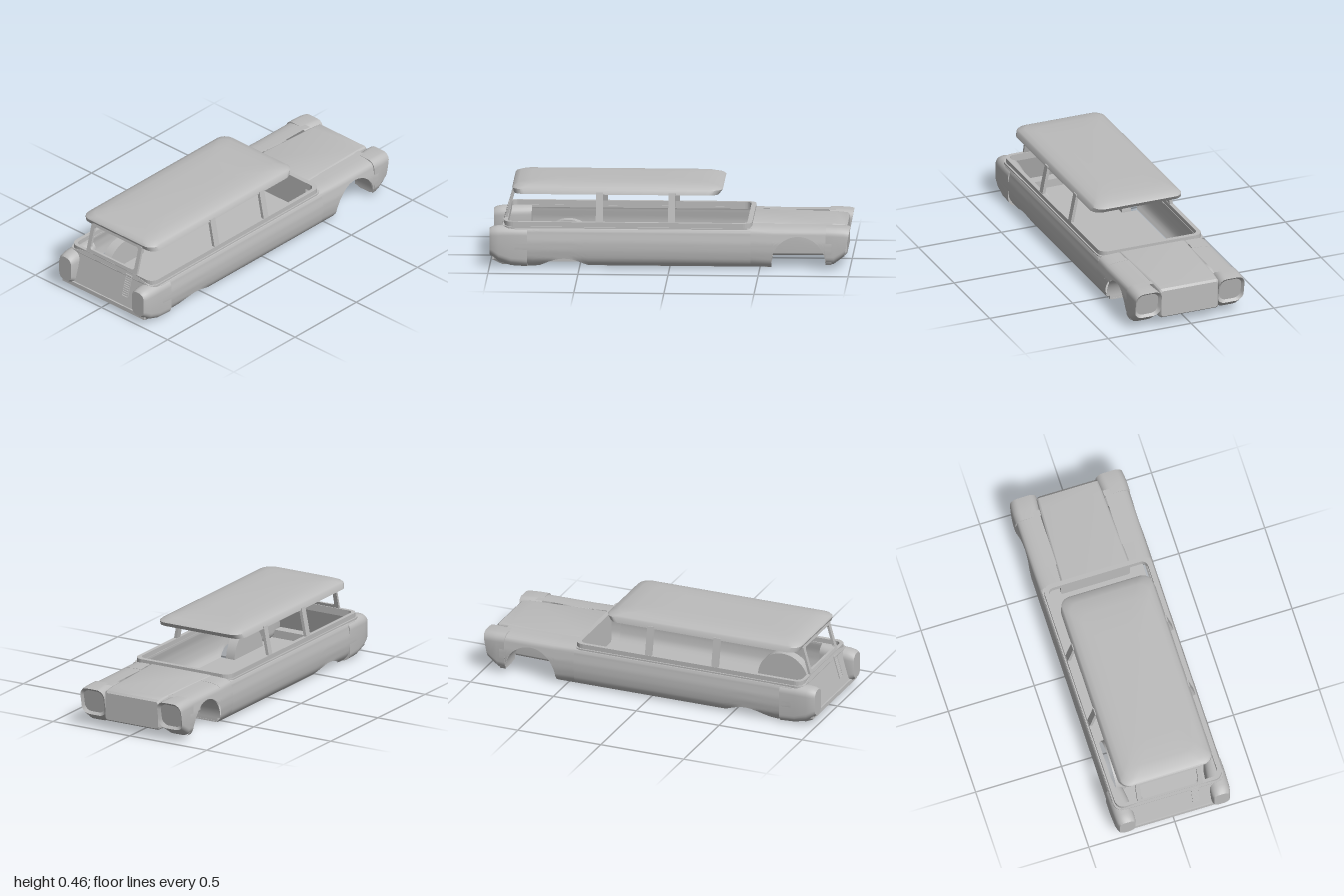
import * as THREE from 'three';
import { toCreasedNormals } from 'three/addons/utils/BufferGeometryUtils.js';

const paint = new THREE.MeshStandardMaterial({ color: 0xbcbcbc, side: THREE.DoubleSide });
paint.name = 'grey body paint';

// Rounded rectangle as a counter-clockwise list of [u, v]
function roundRect(u0, u1, v0, v1, r, n = 6) {
  const pts = [];
  [[u1 - r, v1 - r], [u0 + r, v1 - r], [u0 + r, v0 + r], [u1 - r, v0 + r]].forEach(([cu, cv], q) => {
    for (let i = 0; i <= n; i++) {
      const a = (q + i / n) * Math.PI / 2;
      pts.push([cu + r * Math.cos(a), cv + r * Math.sin(a)]);
    }
  });
  return pts;
}

// Skin through rings of [x, y, z]; closed rings are capped at both ends
function loft(rings, closed = true, crease = 0.6) {
  const n = rings[0].length, pos = rings.flat(2), idx = [];
  for (let i = 0; i < rings.length - 1; i++) {
    for (let j = 0; j < (closed ? n : n - 1); j++) {
      const k = (j + 1) % n, a = i * n + j, b = i * n + k, c = b + n, d = a + n;
      idx.push(a, b, c, a, c, d);
    }
  }
  if (closed) {
    const last = (rings.length - 1) * n;
    for (let j = 1; j < n - 1; j++) idx.push(0, j + 1, j, last, last + j, last + j + 1);
  }
  const g = new THREE.BufferGeometry();
  g.setAttribute('position', new THREE.Float32BufferAttribute(pos, 3));
  g.setIndex(idx);
  return toCreasedNormals(g, crease);
}

const shapeOf = pts => new THREE.Shape(pts.map(([x, y]) => new THREE.Vector2(x, y)));
const extrude = (shape, depth) => new THREE.ExtrudeGeometry(shape, { depth, bevelEnabled: false });
const flat = (shape, depth, top) => extrude(shape, depth).rotateX(Math.PI / 2).translate(0, top, 0);

// Leans a panel drawn in x-y onto the sloping tail
const tailZ = y => 0.93 - 0.286 * (y - 0.22);
function leanToTail(g, offset) {
  const p = g.attributes.position;
  for (let i = 0; i < p.count; i++) p.setZ(i, p.getZ(i) + offset + tailZ(p.getY(i)));
  g.computeVertexNormals();
  return g;
}

// Outer half-width of the body at a height
const flank = [[0, 0.285], [0.025, 0.31], [0.05, 0.326], [0.1, 0.334], [0.15, 0.334], [0.2, 0.325]];
function flankX(y) {
  let i = 0;
  while (i < flank.length - 2 && y > flank[i + 1][0]) i++;
  const [y0, x0] = flank[i], [y1, x1] = flank[i + 1];
  return x0 + (x1 - x0) * (y - y0) / (y1 - y0);
}

const FRONT_AXLE = -0.715, REAR_AXLE = 0.585, WHEEL = 0.15;

// Side panel section at z, from its lower edge up and over the shoulder
function sideSection(z, bottom, inner, top) {
  const row = [];
  for (let i = 0; i <= 12; i++) {
    const y = bottom + (0.2 - bottom) * i / 12;
    row.push([flankX(y), y, z]);
  }
  for (let i = 1; i <= 6; i++) {
    const a = i / 6 * Math.PI / 2;
    row.push([inner + (0.325 - inner) * Math.cos(a) ** 0.6, 0.2 + (top - 0.2) * Math.sin(a) ** 0.8, z]);
  }
  row[row.length - 1][0] = inner;
  return row;
}

function sidePanels() {
  const fender = [sideSection(-0.9, 0.03, 0.183, 0.238), sideSection(FRONT_AXLE - WHEEL, 0.03, 0.185, 0.238)];
  for (let i = 0; i <= 24; i++) {
    const a = Math.PI * (1 - i / 24);
    const z = FRONT_AXLE + WHEEL * Math.cos(a);
    fender.push(sideSection(z, 0.04 + WHEEL * Math.sin(a), 0.19, 0.238));
  }
  fender.push(sideSection(FRONT_AXLE + WHEEL, 0.014, 0.195, 0.239), sideSection(-0.45, 0.014, 0.2, 0.24));
  const door = [-0.45, 0, 0.45].map(z => sideSection(z, 0.014, 0.285, 0.232));
  for (let i = 1; i <= 12; i++) {
    door.push(sideSection(0.45 + 0.27 * i / 12, 0.012 + 0.043 * Math.sin(Math.PI * i / 12), 0.285, 0.232));
  }
  door.push(sideSection(0.76, 0.006, 0.28, 0.232), sideSection(0.86, 0.012, 0.275, 0.232));
  return { fender: loft(fender, false), door: loft(door, false) };
}

// Closed pod at a body corner: rows of [z, x0, x1, y0, y1, radius, lean]
const pod = rows => loft(rows.map(([z, x0, x1, y0, y1, r, lean]) =>
  roundRect(x0, x1, y0, y1, r).map(([x, y]) => [x, y, z + lean * (0.23 - y)])));

// Half-cylinder over a wheel
const wheelArch = (x0, x1, y, z) =>
  new THREE.CylinderGeometry(WHEEL, WHEEL, x1 - x0, 24, 1, true, 0, Math.PI)
    .rotateZ(Math.PI / 2).translate((x0 + x1) / 2, y, z);

// Slanted window post between belt and roof
function post(z0, z1) {
  const level = (x, y) => [[x, y, z0], [x - 0.018, y, z0], [x - 0.018, y, z1], [x, y, z1]];
  return loft([level(0.31, 0.25), level(0.276, 0.42)]);
}

export function createModel() {
  const model = new THREE.Group();
  const add = (name, g, mirrored = false) => {
    const m = new THREE.Mesh(g, paint);
    m.name = name;
    if (mirrored) m.scale.x = -1;
    model.add(m);
  };
  const pair = (name, g) => {
    add('left' + name, g);
    add('right' + name, g, true);
  };

  // Flanks and corner pods
  const sides = sidePanels();
  pair('FrontFender', sides.fender);
  pair('SidePanel', sides.door);
  pair('HeadlampPod', pod([
    [-0.985, 0.187, 0.314, 0.09, 0.218, 0.04, 0.2],
    [-1.0, 0.172, 0.327, 0.075, 0.232, 0.045, 0.2],
    [-0.97, 0.174, 0.331, 0.055, 0.236, 0.045, 0.16],
    [-0.92, 0.18, 0.333, 0.032, 0.238, 0.045, 0.05],
    [-0.868, 0.185, 0.333, 0.03, 0.238, 0.045, 0],
  ]));
  pair('TailPod', pod([
    [0.79, 0.235, 0.334, 0.003, 0.232, 0.048, 0],
    [0.88, 0.224, 0.334, 0.008, 0.232, 0.048, 0],
    [0.95, 0.222, 0.332, 0.03, 0.23, 0.048, 0],
    [0.985, 0.224, 0.327, 0.055, 0.224, 0.045, 0],
    [1.0, 0.23, 0.319, 0.067, 0.214, 0.036, 0],
  ]));
  pair('FrontWheelArch', wheelArch(0.19, 0.322, 0.04, FRONT_AXLE));
  pair('RearWheelArch', wheelArch(0.2, 0.255, 0.015, REAR_AXLE));
  pair('RearWheelHouse', new THREE.CircleGeometry(WHEEL, 24, 0, Math.PI)
    .rotateY(-Math.PI / 2).translate(0.2, 0.015, REAR_AXLE));

  // Hood with engine bay below, and bulkhead
  add('hood', loft([
    [-0.98, 0.17, 0.066, 0.22], [-0.968, 0.178, 0.057, 0.231],
    [-0.9, 0.183, 0.057, 0.236], [-0.45, 0.2, 0.057, 0.242],
  ].map(([z, w, y0, y1]) => roundRect(-w, w, y0, y1, 0.015).map(([x, y]) => [x, y, z]))));
  add('bulkhead', new THREE.BoxGeometry(0.6, 0.215, 0.012).translate(0, 0.1225, -0.552));

  // Floor, notched over the rear wheels
  const half = [[0.29, -0.56], [0.29, 0.435], [0.2, 0.435], [0.2, 0.735], [0.28, 0.735], [0.28, 0.93]];
  add('floor', flat(shapeOf([...half, ...half.map(([x, z]) => [-x, z]).reverse()]), 0.008, 0.02));

  // Belt moulding around the cabin, in two steps
  [[0, 0.232, 0.014], [0.008, 0.258, 0.027]].forEach(([inset, top, depth], i) => {
    const belt = shapeOf(roundRect(-0.318 + inset, 0.318 - inset, -0.465 + inset, 0.928 - inset, 0.05));
    belt.holes.push(shapeOf(roundRect(-0.288, 0.288, -0.43, 0.9, 0.035)));
    add(i ? 'beltRail' : 'beltBase', flat(belt, depth, top));
  });

  // Window posts
  pair('MiddlePost', post(0.37, 0.41));
  pair('FrontPost', post(-0.03, 0.008));

  // Tailgate with window opening
  const gateHalf = [[0.3, 0.04], [0.3, 0.225], [0.28, 0.235], [0.19, 0.255], [0.19, 0.412], [0.177, 0.425]];
  const gate = shapeOf([...gateHalf, ...gateHalf.map(([x, y]) => [-x, y]).reverse()]);
  gate.holes.push(shapeOf(roundRect(-0.165, 0.165, 0.275, 0.406, 0.013, 3)));
  add('tailgate', leanToTail(extrude(gate, 0.014), -0.014));

  // Louvred vent
  const vent = shapeOf([[0.117, 0.115], [0.163, 0.115], [0.163, 0.241], [0.117, 0.241]]);
  for (let i = 0; i < 10; i++) {
    const y = 0.1195 + i * 0.012;
    vent.holes.push(shapeOf([[0.121, y], [0.159, y], [0.159, y + 0.007], [0.121, y + 0.007]]));
  }
  add('vent', leanToTail(extrude(vent, 0.005), 0));

  // Rolled lower edge of the tail, narrowing downward
  const sill = [[0.9, 0.012, 0.28], [0.93, 0.012, 0.28], [0.985, 0.044, 0.308], [0.983, 0.066, 0.308], [0.9, 0.066, 0.308]];
  add('rearSill', loft([-1, 1].map(s => sill.map(([z, y, w]) => [s * w, y, z])).map(r => r.slice().reverse()), true, 0.3));

  // Roof with hollow underside: [y, half width, front z, rear z, corner radius]
  add('roof', loft([
    [0.43, 0.25, -0.25, 0.85, 0.04],
    [0.408, 0.26, -0.262, 0.858, 0.05],
    [0.408, 0.274, -0.272, 0.868, 0.06],
    [0.434, 0.266, -0.292, 0.878, 0.06],
    [0.443, 0.258, -0.282, 0.872, 0.06],
    [0.455, 0.23, -0.24, 0.845, 0.06],
    [0.462, 0.185, -0.16, 0.78, 0.06],
    [0.466, 0.11, -0.02, 0.65, 0.06],
  ].map(([y, w, z0, z1, r]) => roundRect(-w, w, -z1, -z0, r).map(([x, v]) => [x, y, -v]))));

  return model;
}
